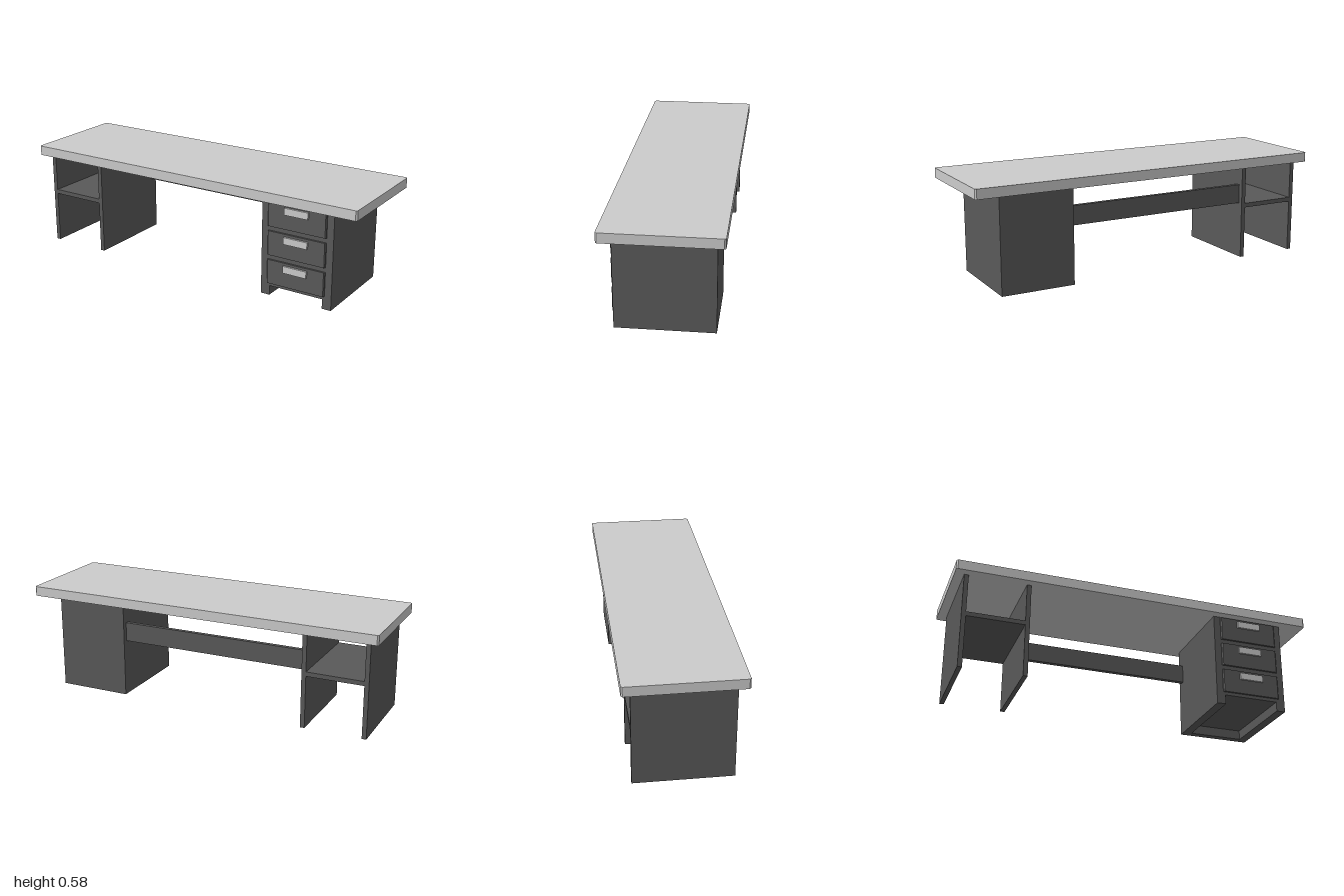
import * as THREE from 'three';

const light = new THREE.MeshStandardMaterial({ color: 0xcccccc, flatShading: true });
const dark = new THREE.MeshStandardMaterial({ color: 0x595959, flatShading: true });

// Box given by its limits on each axis
function box(name, [x0, x1], [y0, y1], [z0, z1], material = dark) {
  const mesh = new THREE.Mesh(new THREE.BoxGeometry(x1 - x0, y1 - y0, z1 - z0), material);
  mesh.position.set((x0 + x1) / 2, (y0 + y1) / 2, (z0 + z1) / 2);
  mesh.name = name;
  return mesh;
}

// Upright slab whose four vertical edges are chamfered by c
function chamferedSlab(name, w, d, c, y0, y1, material) {
  const a = w / 2, b = d / 2;
  const outline = [[-a + c, -b], [a - c, -b], [a, -b + c], [a, b - c], [a - c, b], [-a + c, b], [-a, b - c], [-a, -b + c]];
  const shape = new THREE.Shape(outline.map(([x, y]) => new THREE.Vector2(x, y)));
  const geometry = new THREE.ExtrudeGeometry(shape, { depth: y1 - y0, bevelEnabled: false });
  geometry.rotateX(-Math.PI / 2);
  const mesh = new THREE.Mesh(geometry, material);
  mesh.position.y = y0;
  mesh.name = name;
  return mesh;
}

export function createModel() {
  const desk = new THREE.Group();
  desk.name = 'desk';
  const topY = 0.523, depth = [-0.255, 0.255];

  desk.add(chamferedSlab('desktop', 2, 0.605, 0.008, topY, 0.576, light));

  // Open shelf unit
  const shelfUnit = new THREE.Group();
  shelfUnit.name = 'shelfUnit';
  shelfUnit.add(
    box('outerSidePanel', [-0.95, -0.926], [0, topY], depth),
    box('innerSidePanel', [-0.616, -0.592], [0, topY], depth),
    box('shelf', [-0.926, -0.616], [0.287, 0.311], depth),
  );
  desk.add(shelfUnit);

  // Panel bridging the knee space near the back
  desk.add(box('modestyPanel', [-0.592, 0.456], [0.311, 0.416], [-0.228, -0.204]));

  // Drawer cabinet on a plinth that is open at the front
  const cabinet = new THREE.Group();
  cabinet.name = 'drawerCabinet';
  cabinet.add(
    box('cabinetBody', [0.456, 0.861], [0.052, topY], depth),
    box('plinthSideRight', [0.456, 0.506], [0, 0.052], depth),
    box('plinthSideLeft', [0.811, 0.861], [0, 0.052], depth),
    box('plinthBack', [0.506, 0.811], [0, 0.052], [-0.255, -0.215]),
  );

  // Three drawers with bar handles
  for (let i = 0; i < 3; i++) {
    const y = 0.07 + i * 0.1575;
    const drawer = new THREE.Group();
    drawer.name = 'drawer' + (i + 1);
    const front = chamferedSlab('drawerFront', 0.33, 0.022, 0.005, y, y + 0.132, dark);
    front.position.x = 0.6585;
    front.position.z = 0.255;
    drawer.add(front, box('handle', [0.592, 0.726], [y + 0.081, y + 0.118], [0.264, 0.277], light));
    cabinet.add(drawer);
  }
  desk.add(cabinet);
  return desk;
}
